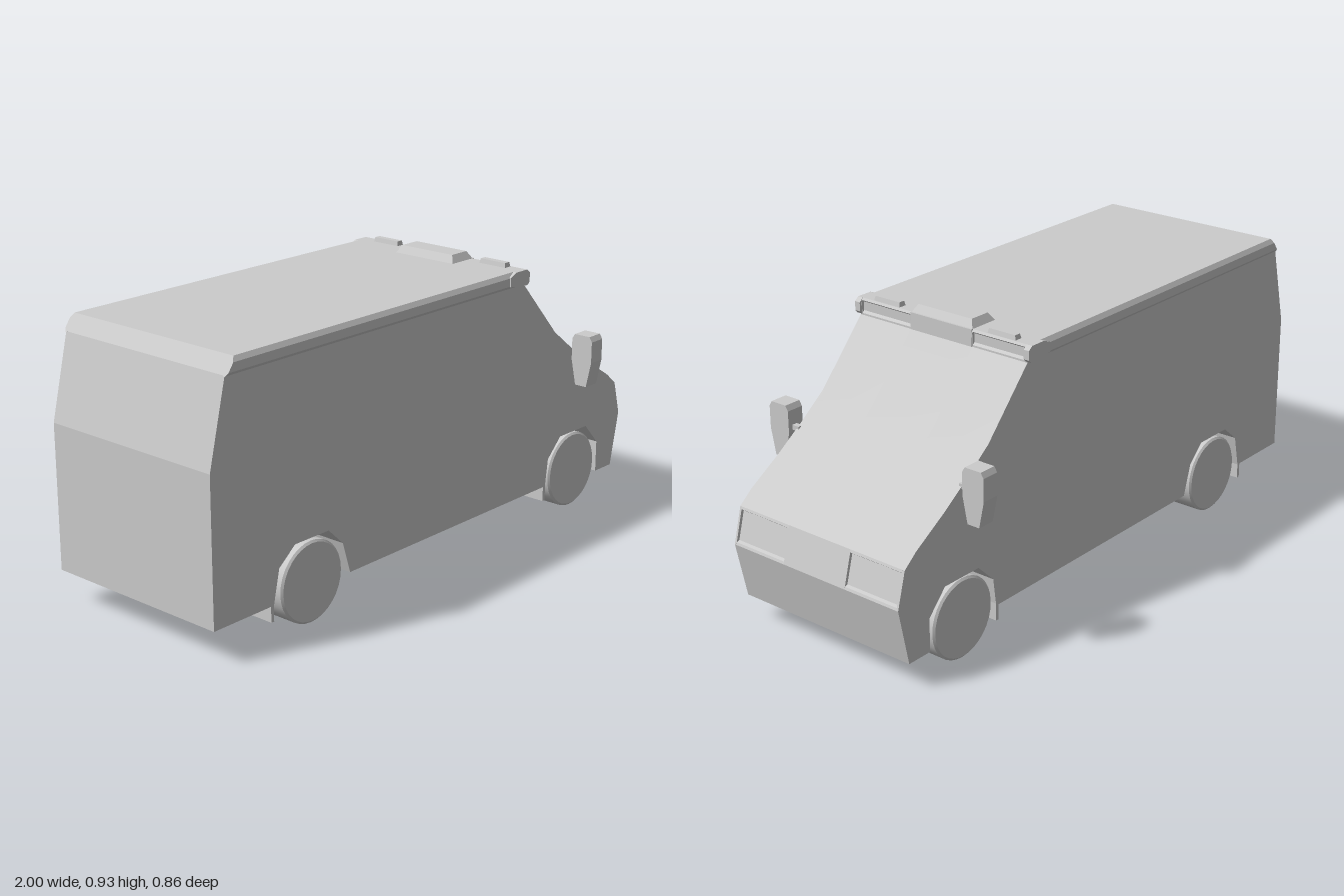
import * as THREE from 'three';
import { toCreasedNormals } from 'three/addons/utils/BufferGeometryUtils.js';

const grey = new THREE.MeshStandardMaterial({ color: 0xcccccc });

function part(name, geometry, parent) {
  const mesh = new THREE.Mesh(geometry, grey);
  mesh.name = name;
  parent.add(mesh);
  return mesh;
}

function prism(points, depth) {
  const shape = new THREE.Shape(points.map(([x, y]) => new THREE.Vector2(x, y)));
  return new THREE.ExtrudeGeometry(shape, { depth, bevelEnabled: false });
}

// Box whose top is narrowed by an inset on each side
function taperedBox(x0, x1, y0, y1, z0, z1, inset) {
  const g = new THREE.BoxGeometry(x1 - x0, y1 - y0, z1 - z0).toNonIndexed();
  const p = g.attributes.position;
  for (let i = 0; i < p.count; i++) {
    if (p.getY(i) > 0) {
      p.setX(i, p.getX(i) - Math.sign(p.getX(i)) * inset);
      p.setZ(i, p.getZ(i) - Math.sign(p.getZ(i)) * inset);
    }
  }
  g.translate((x0 + x1) / 2, (y0 + y1) / 2, (z0 + z1) / 2);
  g.computeVertexNormals();
  return g;
}

// Side outline of the van, running from the nose round underneath to the windscreen
const underside = [
  [0.96, 0.085], [0.87, 0.085], [0.87, 0.195], [0.8, 0.27], [0.65, 0.27], [0.583, 0.205], [0.57, 0.11],
  [-0.425, 0.11], [-0.457, 0.215], [-0.52, 0.275], [-0.665, 0.275], [-0.733, 0.22], [-0.757, 0.11],
];
const back = [[-1, 0.11], [-1, 0.585], [-0.935, 0.855], [-0.9, 0.905]];
const windscreen = [[0.42, 0.85], [0.6, 0.652], [0.7, 0.575], [0.8, 0.505], [0.92, 0.43]];
const plainRoofEdge = [[0.415, 0.905], [0.422, 0.895]];
const recessRoofEdge = [[0.415, 0.905], [0.42, 0.898], [0.412, 0.892], [0.412, 0.863], [0.42, 0.856]];
const plainNose = [[0.968, 0.39], [1, 0.273]];
const recessNose = [[0.968, 0.39], [0.971, 0.382], [0.962, 0.375], [0.987, 0.285], [0.997, 0.281], [1, 0.273]];

export function createModel() {
  const van = new THREE.Group();
  van.name = 'van';

  // Body in slices across the width; the two wide outer slices hold the lamp recesses
  const body = new THREE.Group();
  body.name = 'body';
  van.add(body);
  const cuts = [-0.335, -0.328, -0.125, 0.125, 0.328, 0.335];
  for (let i = 0; i < 5; i++) {
    const recessed = i % 2 === 1;
    const outline = [
      ...underside, ...back,
      ...(recessed ? recessRoofEdge : plainRoofEdge), ...windscreen,
      ...(recessed ? recessNose : plainNose),
    ];
    const g = toCreasedNormals(prism(outline, cuts[i + 1] - cuts[i]), 0.22);
    g.translate(0, 0, cuts[i]);
    part(recessed ? 'lampSection' : 'bodySection', g, body);
  }

  // Light bar in the middle of the roof, with its front face
  part('roofLightBar', taperedBox(0.31, 0.42, 0.9, 0.93, -0.125, 0.125, 0.018), van);
  part('roofLightFace', new THREE.BoxGeometry(0.02, 0.055, 0.245), van).position.set(0.413, 0.878, 0);

  for (const side of [1, -1]) {
    // Gutter rail along the roof edge, its rear end sloped like the body
    const rail = prism([[0.33, 0.853], [0.337, 0.853], [0.345, 0.863], [0.345, 0.89], [0.335, 0.905], [0.33, 0.905]], 1.31);
    rail.rotateY(Math.PI / 2);
    rail.scale(1, 1, -1);
    const p = rail.attributes.position;
    for (let i = 0; i < p.count; i++) {
      const rear = p.getX(i) < 0.1;
      p.setX(i, p.getX(i) - 0.935 + (rear ? (p.getY(i) - 0.855) * 0.7 : 0));
      if (side < 0) p.setZ(i, -p.getZ(i));
    }
    if (side > 0) {
      // Restore face order after the reflection
      for (let i = 0; i < p.count; i += 3) {
        const a = new THREE.Vector3().fromBufferAttribute(p, i);
        const b = new THREE.Vector3().fromBufferAttribute(p, i + 1);
        p.setXYZ(i, b.x, b.y, b.z);
        p.setXYZ(i + 1, a.x, a.y, a.z);
      }
    }
    rail.computeVertexNormals();
    part('roofRail', rail, van);

    // Eight-sided cap at the front corner of the roof
    const cap = prism([
      [0.33, 0.862], [0.4, 0.853], [0.42, 0.853], [0.43, 0.863],
      [0.43, 0.893], [0.415, 0.905], [0.36, 0.905], [0.33, 0.893],
    ], 0.02);
    cap.translate(0, 0, side > 0 ? 0.329 : -0.349);
    part('roofCornerCap', cap, van);

    // Small marker lamps on the roof
    const z = side * 0.23;
    part('roofMarker', taperedBox(0.383, 0.413, 0.9, 0.92, z - 0.054, z + 0.054, 0.004), van);

    // Wing mirror on a short stalk
    const mirror = new THREE.Group();
    mirror.name = 'wingMirror';
    van.add(mirror);
    const housing = prism([
      [-0.04, 0.545], [-0.022, 0.458], [0.022, 0.458], [0.04, 0.545],
      [0.04, 0.618], [0.03, 0.635], [-0.03, 0.635], [-0.04, 0.618],
    ], 0.06);
    housing.rotateY(Math.PI / 2);
    housing.translate(0.677, 0, side * 0.392);
    part('mirrorHousing', housing, mirror);
    part('mirrorStalk', new THREE.BoxGeometry(0.018, 0.016, 0.04), mirror).position.set(0.712, 0.561, side * 0.345);

    // Wheels with a slightly rounded rim
    for (const x of [-0.593, 0.722]) {
      const profile = [[0, -0.066], [0.125, -0.066], [0.132, -0.06], [0.132, 0.06], [0.125, 0.066], [0, 0.066]];
      const g = toCreasedNormals(
        new THREE.LatheGeometry(profile.map(([r, y]) => new THREE.Vector2(r, y)), 32), 0.5);
      g.rotateX(Math.PI / 2);
      part('wheel', g, van).position.set(x, 0.132, side * 0.27);
    }
  }

  // Full-width mud flaps behind each axle
  for (const x of [-0.763, 0.565]) {
    part('mudFlap', new THREE.BoxGeometry(0.012, 0.07, 0.67), van).position.set(x, 0.094, 0);
  }

  return van;
}
